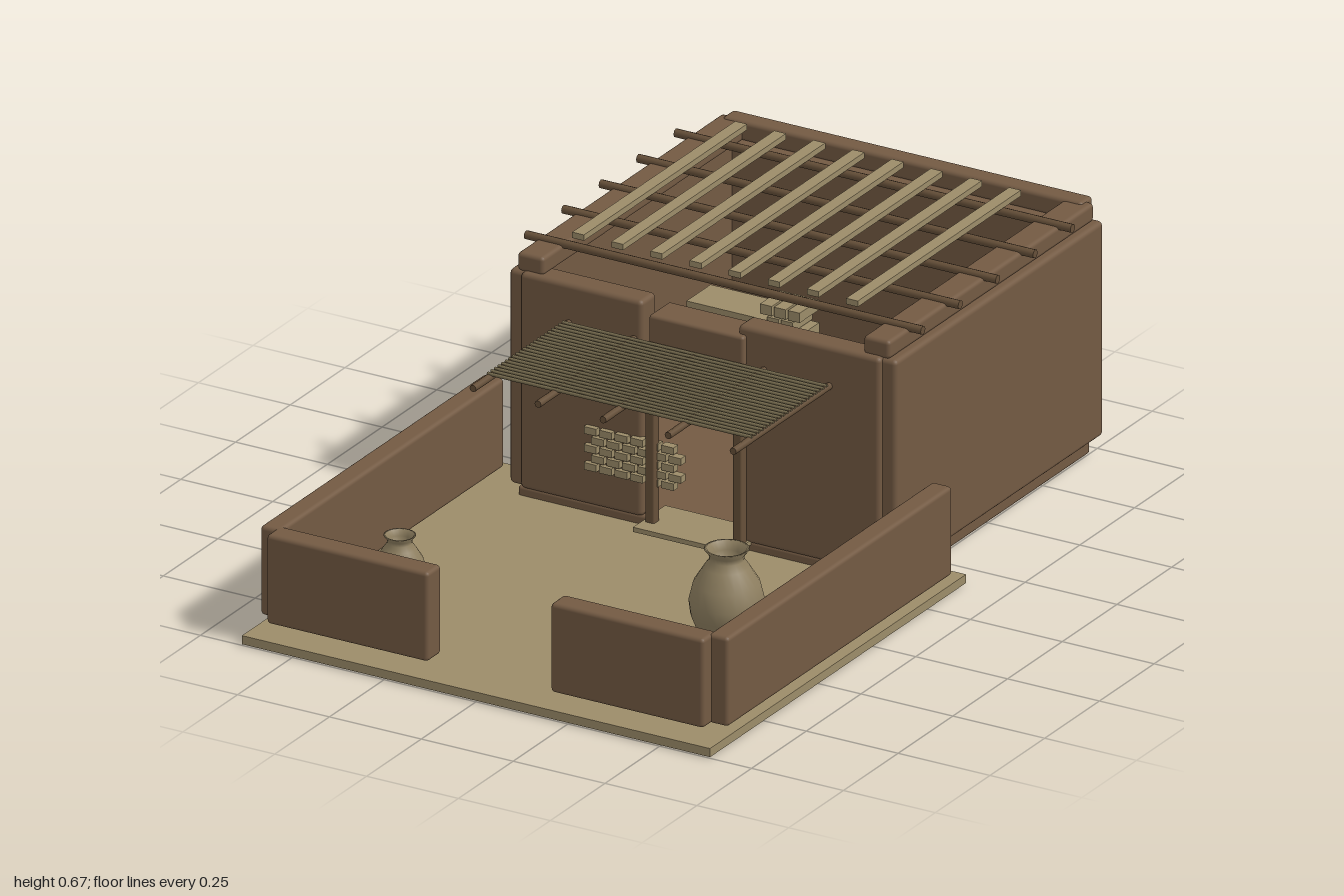
import * as THREE from 'three';
import { RoundedBoxGeometry } from 'three/addons/geometries/RoundedBoxGeometry.js';

const mat = (name, color, side = THREE.FrontSide) => {
  const m = new THREE.MeshStandardMaterial({ color, side });
  m.name = name;
  return m;
};

export function createModel() {
  const root = new THREE.Group();
  root.name = 'mudHouse';
  const mud = mat('mud brick', 0x735a43);
  const wood = mat('wood', 0x665039);
  const sand = mat('pale clay', 0x9c8c69);
  const reed = mat('reed', 0x766b4e);
  const clay = mat('pottery', 0x8e7f60, THREE.DoubleSide);

  const group = (name) => {
    const g = new THREE.Group();
    g.name = name;
    root.add(g);
    return g;
  };
  // box given by its limits, optionally with rounded edges
  const box = (parent, name, m, [x0, x1], [y0, y1], [z0, z1], r = 0) => {
    const s = [x1 - x0, y1 - y0, z1 - z0];
    const geo = r ? new RoundedBoxGeometry(...s, 2, r) : new THREE.BoxGeometry(...s);
    const mesh = new THREE.Mesh(geo, m);
    mesh.name = name;
    mesh.position.set((x0 + x1) / 2, (y0 + y1) / 2, (z0 + z1) / 2);
    parent.add(mesh);
    return mesh;
  };
  // round pole centred at a point, along x or z
  const pole = (parent, name, m, axis, length, r, pos, sides = 8) => {
    const mesh = new THREE.Mesh(new THREE.CylinderGeometry(r, r, length, sides), m);
    mesh.name = name;
    if (axis === 'x') mesh.rotation.z = Math.PI / 2;
    else mesh.rotation.x = Math.PI / 2;
    mesh.position.set(...pos);
    parent.add(mesh);
  };

  // Courtyard floor and low walls
  const yard = group('courtyard');
  box(yard, 'courtyardFloor', sand, [-0.637, 0.637], [0.003, 0.025], [-0.17, 1]);
  for (const s of [-1, 1]) {
    const xs = s < 0 ? [-0.637, -0.582] : [0.582, 0.637];
    box(yard, 'yardSideWall', mud, xs, [0.047, 0.275], [-0.108, 0.918], 0.01);
  }
  box(yard, 'yardFrontWallRight', mud, [-0.598, -0.158], [0.047, 0.275], [0.892, 0.955], 0.01);
  box(yard, 'yardFrontWallLeft', mud, [0.175, 0.592], [0.047, 0.275], [0.892, 0.955], 0.01);

  // House shell, open to the sky between the roof poles
  const house = group('house');
  box(house, 'foundation', mud, [-0.5, 0.5], [0, 0.048], [-0.968, -0.03], 0.008);
  box(house, 'backWall', mud, [-0.49, 0.49], [0.046, 0.595], [-0.99, -0.925], 0.012);
  for (const s of [-1, 1]) {
    const span = (a, b) => (s < 0 ? [-b, -a] : [a, b]);
    box(house, 'sideWall', mud, span(0.45, 0.527), [0.046, 0.595], [-0.985, -0.035], 0.012);
    box(house, 'sideParapet', mud, span(0.435, 0.507), [0.593, 0.64], [-0.975, -0.038], 0.01);
  }
  box(house, 'backParapet', mud, [-0.49, 0.49], [0.595, 0.645], [-0.998, -0.945], 0.01);
  box(house, 'frontWallRight', mud, [-0.49, -0.157], [0.046, 0.598], [-0.09, -0.022], 0.012);
  box(house, 'frontWallLeft', mud, [0.103, 0.49], [0.046, 0.598], [-0.09, -0.022], 0.012);

  // Doorway
  const door = group('doorway');
  box(door, 'lintel', mud, [-0.13, 0.128], [0.5, 0.577], [-0.1, -0.006], 0.008);
  for (const x of [-0.12, 0.118]) {
    box(door, 'doorPost', wood, [x - 0.012, x + 0.012], [0.03, 0.466], [-0.02, 0.006], 0.004);
  }
  box(door, 'threshold', sand, [-0.14, 0.135], [0.04, 0.052], [-0.1, 0.047]);

  // Roof poles and slats
  const roof = group('roof');
  for (let i = 0; i < 5; i++) {
    pole(roof, 'roofPole', wood, 'x', 1.08, 0.011, [0, 0.64, -0.82 + i * 0.171]);
  }
  for (let i = 0; i < 8; i++) {
    const x = -0.41 + i * 0.1065;
    box(roof, 'roofSlat', sand, [x - 0.016, x + 0.016], [0.65, 0.665], [-0.9, -0.155]);
  }

  // Reed awning
  const awning = group('awning');
  for (let i = -2; i <= 2; i++) {
    pole(awning, 'awningPole', wood, 'z', 0.44, 0.009, [i * 0.177, 0.5, 0.2]);
  }
  for (let i = 0; i < 22; i++) {
    pole(awning, 'awningReed', reed, 'x', 0.72, 0.0045, [0, 0.508, i * 0.0163], 6);
  }

  // Jars: a lathe profile scaled by radius and height
  const jars = group('jars');
  const profile = [[0, 0], [0.45, 0], [0.72, 0.13], [0.95, 0.34], [1, 0.48], [0.88, 0.66], [0.6, 0.82],
    [0.46, 0.89], [0.47, 0.94], [0.6, 1], [0.52, 1], [0.4, 0.92], [0.36, 0.8], [0, 0.78]];
  const jar = (name, x, y, z, r, h) => {
    const pts = profile.map(([a, b]) => new THREE.Vector2(a * r, b * h));
    const mesh = new THREE.Mesh(new THREE.LatheGeometry(pts, 24), clay);
    mesh.name = name;
    mesh.position.set(x, y, z);
    jars.add(mesh);
  };
  jar('largeJar', 0.37, 0.025, 0.475, 0.09, 0.252);
  jar('smallJar', -0.41, 0.025, 0.66, 0.064, 0.18);
  jar('indoorJar', 0.29, 0.047, -0.72, 0.058, 0.17);
  jar('indoorSmallJar', -0.35, 0.047, -0.3, 0.034, 0.1);

  // Bricks stacked by the door
  const bricks = group('brickStack');
  for (let row = 0; row < 5; row++) {
    for (let i = 0; i < 6; i++) {
      const x = -0.29 + i * 0.042 + (row % 2) * 0.02;
      const y = 0.15 + row * 0.023;
      box(bricks, 'brick', sand, [x - 0.017, x + 0.017], [y - 0.009, y + 0.009], [-0.03, -0.008]);
    }
  }

  // Indoor furniture: table with basket, bench, shelf, mat and bricks
  const indoors = group('furniture');
  box(indoors, 'tableTop', wood, [-0.075, 0.21], [0.177, 0.195], [-0.53, -0.385]);
  for (const x of [-0.046, 0.18]) {
    for (const z of [-0.51, -0.405]) {
      box(indoors, 'tableLeg', wood, [x - 0.01, x + 0.01], [0.046, 0.178], [z - 0.01, z + 0.01]);
    }
  }
  const basketPoints = [[0, 0], [0.045, 0], [0.068, 0.045], [0.06, 0.045], [0.04, 0.008], [0, 0.008]];
  const basket = new THREE.Mesh(
    new THREE.LatheGeometry(basketPoints.map((p) => new THREE.Vector2(...p)), 20), reed);
  basket.name = 'basket';
  basket.material = clay;
  basket.position.set(0.045, 0.195, -0.46);
  indoors.add(basket);
  for (let i = 0; i < 3; i++) {
    const ring = new THREE.Mesh(new THREE.TorusGeometry(0.05 + i * 0.009, 0.004, 5, 20), reed);
    ring.name = 'basketCoil';
    ring.rotation.x = Math.PI / 2;
    ring.position.set(0.045, 0.205 + i * 0.018, -0.46);
    indoors.add(ring);
  }
  box(indoors, 'clayBench', sand, [-0.38, -0.165], [0.047, 0.33], [-0.71, -0.6]);
  box(indoors, 'wallShelf', wood, [0.24, 0.39], [0.36, 0.38], [-0.93, -0.87]);
  for (let i = 0; i < 6; i++) {
    const x = -0.225 + i * 0.039;
    box(indoors, 'matStrip', sand, [x - 0.015, x + 0.015], [0.048, 0.054], [-0.8, -0.58]);
    const z = -0.78 + i * 0.036;
    box(indoors, 'matCrossStrip', reed, [-0.245, -0.01], [0.047, 0.051], [z - 0.01, z + 0.01]);
  }
  for (let row = 0; row < 3; row++) {
    for (let i = 0; i < 3 - (row % 2); i++) {
      const x = -0.17 + i * 0.038 + (row % 2) * 0.019;
      const y = 0.295 + row * 0.029;
      box(indoors, 'indoorBrick', sand, [x - 0.016, x + 0.016], [y - 0.015, y + 0.01], [-0.7, -0.61]);
    }
  }
  return root;
}
